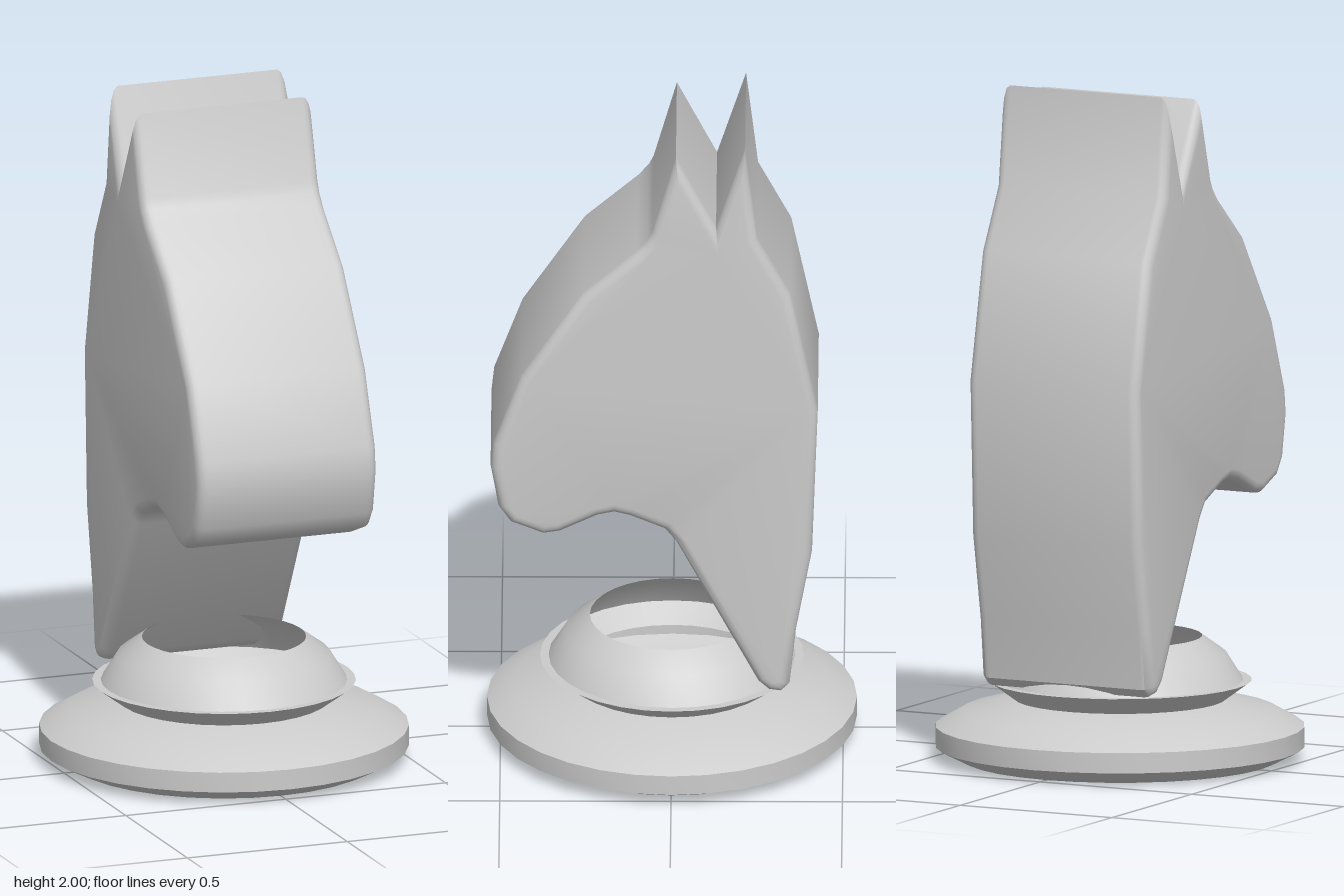
import * as THREE from 'three';
import { toCreasedNormals } from 'three/addons/utils/BufferGeometryUtils.js';

const HALF_WIDTH = 0.28;
const BEVEL = 0.03;
const BEVEL_STEPS = 4;

// Head silhouette as [z, y], from the front ear down the face and up the neck
const HEAD = [
  [-0.013, 1.968], [0.055, 1.73], [0.07, 1.70], [0.10, 1.665], [0.257, 1.53],
  [0.438, 1.263], [0.52, 1.045], [0.528, 0.97], [0.505, 0.84], [0.47, 0.79],
  [0.374, 0.752], [0.325, 0.76], [0.215, 0.812], [0.167, 0.822], [0.12, 0.81],
  [0.02, 0.768], [-0.013, 0.727], [-0.252, 0.276], [-0.284, 0.248],
  [-0.32, 0.243], [-0.345, 0.268], [-0.363, 0.44], [-0.41, 0.695],
  [-0.427, 1.155], [-0.347, 1.53], [-0.25, 1.71], [-0.215, 2.0], [-0.13, 1.742],
].map(([z, y]) => new THREE.Vector2(-z, y));

// Move a counterclockwise outline inward by d, with mitred corners
function inset(outline, d) {
  const n = outline.length;
  const normal = (a, b) => {
    const t = b.clone().sub(a).normalize();
    return new THREE.Vector2(-t.y, t.x);
  };
  return outline.map((p, i) => {
    const n1 = normal(outline[(i + n - 1) % n], p);
    const n2 = normal(p, outline[(i + 1) % n]);
    return p.clone().addScaledVector(n1.clone().add(n2), d / (1 + n1.dot(n2)));
  });
}

// Slab across x whose two side edges are rounded over
function roundedSlab(outline) {
  const edge = [];
  for (let i = 0; i <= BEVEL_STEPS; i++) {
    const a = (i / BEVEL_STEPS) * Math.PI / 2;
    edge.push({
      x: HALF_WIDTH - BEVEL + BEVEL * Math.sin(a),
      ring: inset(outline, BEVEL * (1 - Math.cos(a))),
    });
  }
  const sections = [
    ...edge.map(({ x, ring }) => ({ x: -x, ring })).reverse(),
    ...edge,
  ];
  const positions = [];
  const index = [];
  const n = outline.length;
  sections.forEach(({ x, ring }, s) => {
    ring.forEach((p) => positions.push(x, p.y, -p.x));
    if (s === 0) return;
    for (let j = 0; j < n; j++) {
      const k = (j + 1) % n;
      const a = (s - 1) * n + j, b = (s - 1) * n + k;
      const c = s * n + k, d = s * n + j;
      index.push(a, b, c, a, c, d);
    }
  });
  // Flat cheeks on both sides
  const last = (sections.length - 1) * n;
  const cap = THREE.ShapeUtils.triangulateShape(sections[0].ring.slice(), []);
  for (const [a, b, c] of cap) {
    index.push(last + a, last + b, last + c, a, c, b);
  }
  const geometry = new THREE.BufferGeometry();
  geometry.setAttribute('position', new THREE.Float32BufferAttribute(positions, 3));
  geometry.setIndex(index);
  geometry.computeVertexNormals();
  return toCreasedNormals(geometry, 0.65);
}

// Turned, open part from a [radius, y] profile
function turned(name, profile, material) {
  const points = profile.map(([r, y]) => new THREE.Vector2(r, y));
  const geometry = toCreasedNormals(new THREE.LatheGeometry(points, 32), 0.5);
  const mesh = new THREE.Mesh(geometry, material);
  mesh.name = name;
  return mesh;
}

export function createModel() {
  const group = new THREE.Group();
  group.name = 'chessKnight';
  const solid = new THREE.MeshStandardMaterial({ color: 0xcccccc });
  const open = new THREE.MeshStandardMaterial({ color: 0xcccccc, side: THREE.DoubleSide });

  // Broad foot with chamfered rim, narrowing to the waist
  group.add(turned('foot', [
    [0, 0], [0.46, 0], [0.54, 0.04], [0.54, 0.1], [0.46, 0.145], [0.31, 0.18],
  ], open));

  // Flared collar above the waist, open at the top
  group.add(turned('collar', [
    [0.31, 0.18], [0.385, 0.235], [0.36, 0.235], [0.31, 0.315], [0.24, 0.365],
  ], open));

  // Horse head and neck with two ear ridges
  const head = new THREE.Mesh(roundedSlab(HEAD), solid);
  head.name = 'horseHead';
  group.add(head);

  return group;
}
